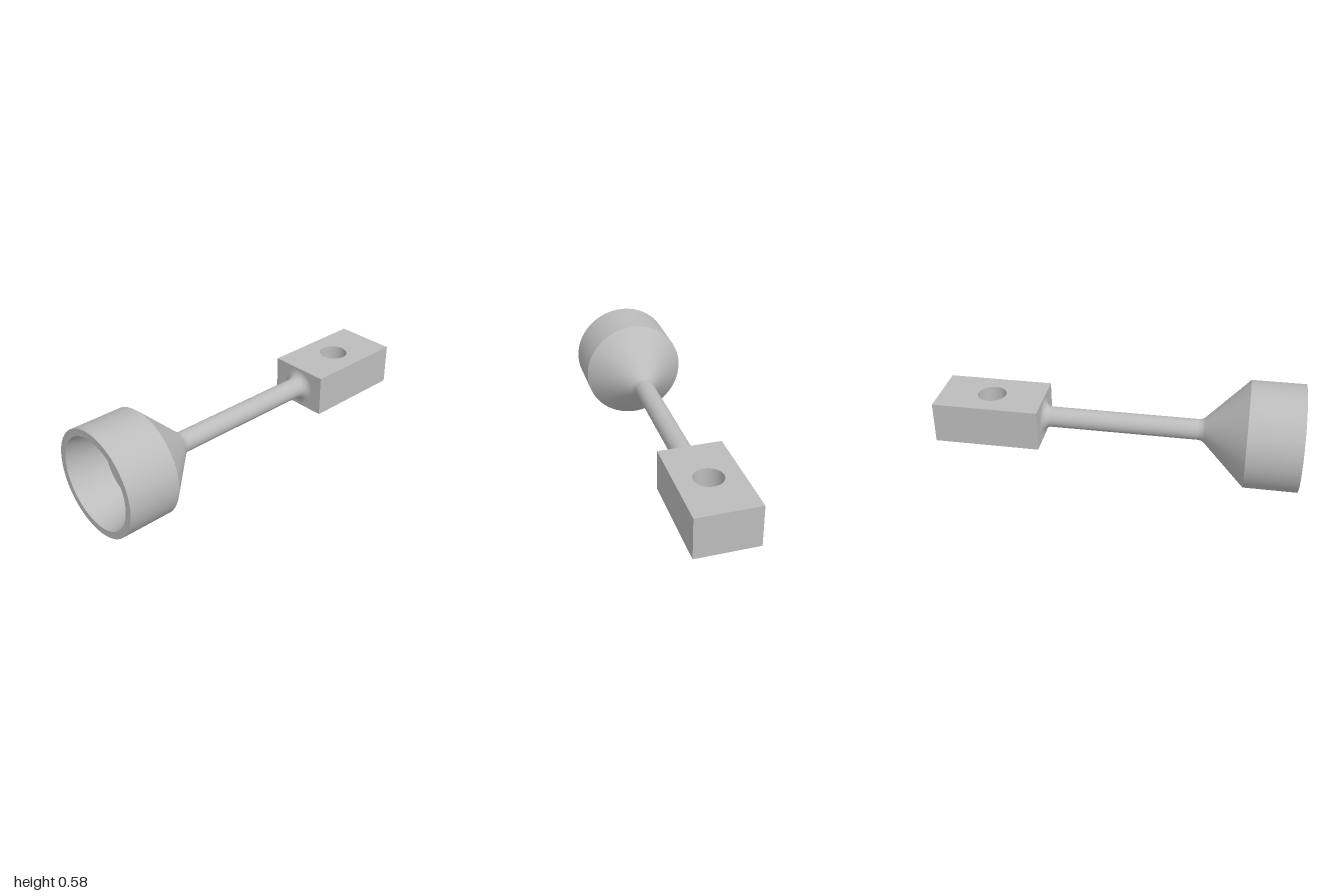
import * as THREE from 'three';

const AXIS_Y = 0.292; // height of the common axis

export function createModel() {
  const model = new THREE.Group();
  const grey = new THREE.MeshStandardMaterial({ color: 0xbcbcbc });
  grey.name = 'grey metal';

  // Turned surface around the z axis from [radius, z] pairs; separate calls keep edges sharp
  const turned = (name, profile) => {
    const points = profile.map(([r, z]) => new THREE.Vector2(r, z));
    const mesh = new THREE.Mesh(new THREE.LatheGeometry(points, 96), grey);
    mesh.name = name;
    mesh.rotation.x = Math.PI / 2;
    mesh.position.y = AXIS_Y;
    model.add(mesh);
  };

  // Rod with a quarter-round flare where it meets the block
  const rod = 0.057, flare = 0.045, blockFront = -0.415;
  const flareProfile = [];
  for (let i = 0; i <= 8; i++) {
    const a = (i / 8) * Math.PI / 2;
    flareProfile.push([rod + flare * (1 - Math.sin(a)), blockFront + flare * (1 - Math.cos(a))]);
  }
  turned('rodFlare', flareProfile);
  turned('rod', [[rod, blockFront + flare], [rod, 0.45]]);

  // Cone blending softly out of the rod
  turned('coneBlend', [[rod, 0.45], [0.059, 0.461], [0.064, 0.473], [0.071, 0.482]]);
  turned('cone', [[0.071, 0.482], [0.292, 0.71]]);

  // Cup: outer wall, rim, tapered socket and its floor
  turned('cupWall', [[0.292, 0.71], [0.292, 1]]);
  turned('cupRim', [[0.292, 1], [0.253, 1]]);
  turned('socketWall', [[0.253, 1], [0.21, 0.79]]);
  turned('socketFloor', [[0.21, 0.79], [0, 0.79]]);

  // Rectangular block with a vertical through hole
  const outline = new THREE.Shape();
  outline.moveTo(-0.172, -blockFront);
  outline.lineTo(0.172, -blockFront);
  outline.lineTo(0.172, 1);
  outline.lineTo(-0.172, 1);
  outline.closePath();
  outline.holes.push(new THREE.Path().absarc(0, 0.71, 0.079, 0, Math.PI * 2, true));
  const height = 0.23;
  const block = new THREE.Mesh(
    new THREE.ExtrudeGeometry(outline, { depth: height, bevelEnabled: false, curveSegments: 48 }), grey);
  block.name = 'drilledBlock';
  block.rotation.x = -Math.PI / 2;
  block.position.y = AXIS_Y - height / 2;
  model.add(block);

  return model;
}
